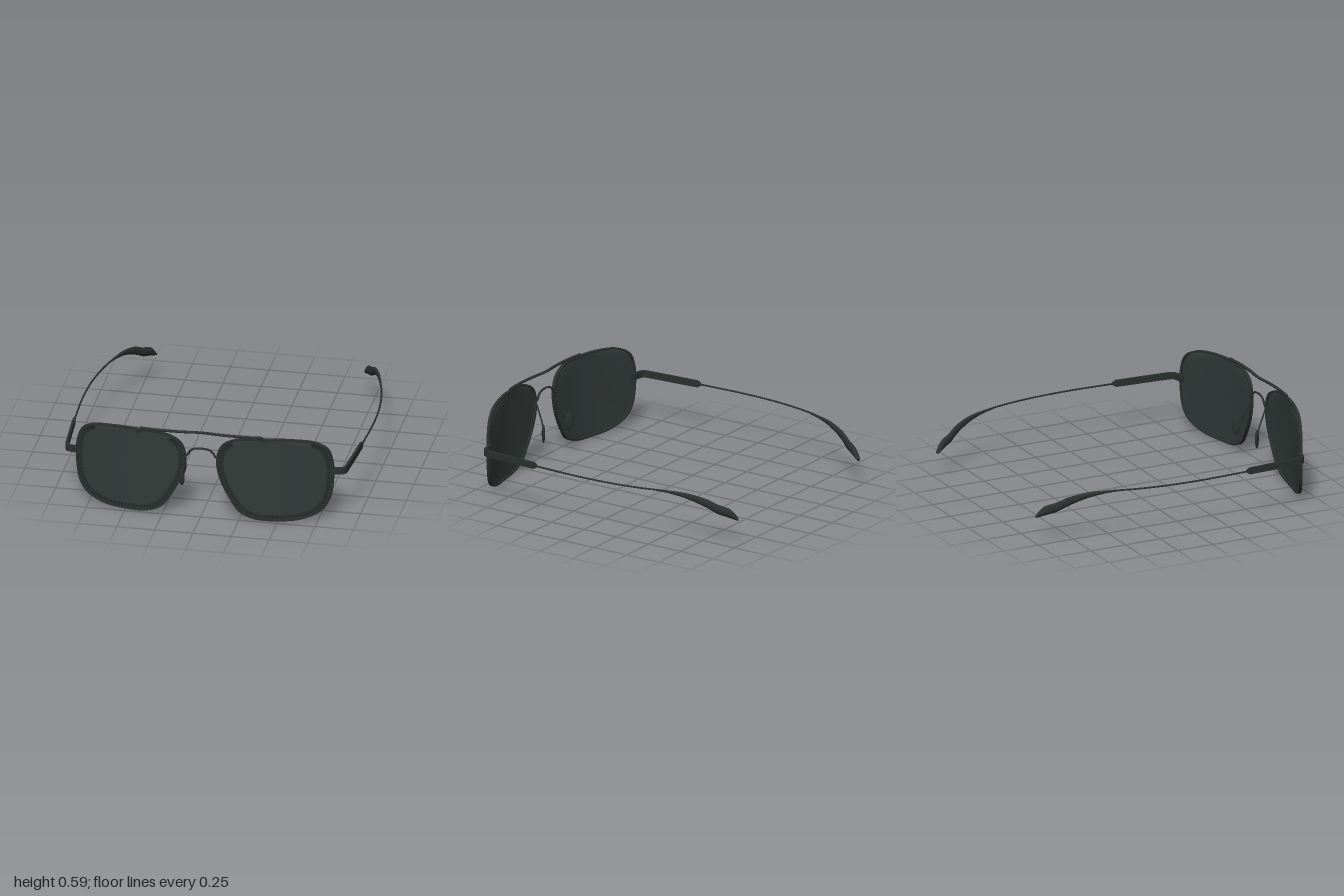
import * as THREE from 'three';

const lensMat = new THREE.MeshStandardMaterial({ color: 0x323a38, side: THREE.DoubleSide });
lensMat.name = 'smoked lens';
const frameMat = new THREE.MeshStandardMaterial({ color: 0x2a312f });
frameMat.name = 'dark frame';

const V = (x, y, z) => new THREE.Vector3(x, y, z);

// depth of the wrapped front at a given x
const frontZ = x => 0.986 - 0.35 * (Math.abs(x) - 0.22) ** 2;

// Skin a series of rings (counter-clockwise about the path direction)
function skin(rings, closed) {
  const n = rings[0].length, m = rings.length, index = [];
  for (let i = 0; i < (closed ? m : m - 1); i++) {
    for (let j = 0; j < n; j++) {
      const a = i * n + j, b = i * n + (j + 1) % n;
      const c = ((i + 1) % m) * n + j, d = ((i + 1) % m) * n + (j + 1) % n;
      index.push(a, b, c, b, d, c);
    }
  }
  if (!closed) {
    for (let j = 1; j < n - 1; j++) {
      const e = (m - 1) * n;
      index.push(0, j + 1, j, e, e + j, e + j + 1);
    }
  }
  const g = new THREE.BufferGeometry().setFromPoints(rings.flat());
  g.setIndex(index);
  g.computeVertexNormals();
  return g;
}

function flat(g) {
  const f = g.toNonIndexed();
  f.computeVertexNormals();
  return f;
}

// Loft through stations [x, y, z, halfThickness, halfHeight]
function loft(stations, sides, samples, boxy) {
  const path = new THREE.CatmullRomCurve3(stations.map(s => V(s[0], s[1], s[2])));
  const rings = [];
  const last = stations.length - 1, count = samples || last;
  for (let i = 0; i <= count; i++) {
    const t = i / count, k = Math.min(Math.floor(t * last), last - 1), f = t * last - k;
    const p = path.getPoint(t), d = path.getTangent(t);
    const out = V(d.z, 0, -d.x).normalize();
    const a = THREE.MathUtils.lerp(stations[k][3], stations[k + 1][3], f);
    const b = THREE.MathUtils.lerp(stations[k][4], stations[k + 1][4], f);
    rings.push(Array.from({ length: sides }, (_, j) => {
      const w = (j + (boxy ? 0.5 : 0)) / sides * Math.PI * 2, s = boxy ? Math.SQRT2 : 1;
      return p.clone().addScaledVector(out, Math.cos(w) * a * s).add(V(0, Math.sin(w) * b * s, 0));
    }));
  }
  return skin(rings, false);
}

function wire(points, radius, segments = 32) {
  const curve = new THREE.CatmullRomCurve3(points.map(p => V(...p)));
  return new THREE.TubeGeometry(curve, segments, radius, 8);
}

function mirrored(g) {
  const m = (g.index ? g.toNonIndexed() : g.clone()).scale(-1, 1, 1);
  for (const name of ['position', 'normal']) {
    const a = m.attributes[name];
    for (let i = 0; i < a.count; i += 3) {
      const p = [a.getX(i + 1), a.getY(i + 1), a.getZ(i + 1)];
      a.setXYZ(i + 1, a.getX(i + 2), a.getY(i + 2), a.getZ(i + 2));
      a.setXYZ(i + 2, ...p);
    }
  }
  return m;
}

export function createModel() {
  const group = new THREE.Group();
  const add = (name, g, mat = frameMat) => {
    const mesh = new THREE.Mesh(g, mat);
    mesh.name = name;
    group.add(mesh);
  };
  const addPair = (name, g, mat) => {
    add(name + 'Left', g, mat);
    add(name + 'Right', mirrored(g), mat);
  };

  // Lens outline, counter-clockwise from the top
  const outline = new THREE.CatmullRomCurve3([
    [0.40, 0.578], [0.23, 0.565], [0.135, 0.51], [0.105, 0.405], [0.133, 0.27], [0.20, 0.14],
    [0.255, 0.065], [0.345, 0.022], [0.5, 0.01], [0.655, 0.022], [0.765, 0.07], [0.815, 0.14],
    [0.838, 0.28], [0.835, 0.40], [0.805, 0.495], [0.73, 0.547], [0.58, 0.573],
  ].map(p => V(p[0], p[1], 0)), true);
  const N = 96, edge = outline.getPoints(N).slice(0, N);

  // Lens: nested outlines wrapped on the curved front
  const lensRings = [];
  for (let k = 0; k <= 8; k++) {
    const s = Math.max(1 - k / 8, 0.001);
    lensRings.push(edge.map(p => {
      const x = 0.48 + (p.x - 0.48) * s;
      return V(x, 0.3 + (p.y - 0.3) * s, frontZ(x));
    }));
  }
  addPair('lens', skin(lensRings, false), lensMat);

  // Rim: rectangular band around the lens
  const rimRings = edge.map((p, i) => {
    const t = outline.getTangent(i / N);
    return [[1, 1], [1, -1], [-1, -1], [-1, 1]].map(([o, d]) => {
      const x = p.x + t.y * o * 0.006, y = p.y - t.x * o * 0.006;
      return V(x, y, frontZ(x) + d * 0.011);
    });
  });
  addPair('rim', flat(skin(rimRings, true)));

  // Brow bar and nose bridge
  const bar = [];
  for (let i = -8; i <= 8; i++) bar.push([i * 0.05, 0.59, i ? frontZ(i * 0.05) : 0.973]);
  add('browBar', loft(bar.map(p => [...p, 0.011, 0.008]), 8, 48));
  const half = [[0.108, 0.42, 0.973], [0.09, 0.428, 0.973], [0.077, 0.452, 0.973], [0.05, 0.472, 0.974]];
  const left = half.map(([x, y, z]) => [-x, y, z]);
  add('bridge', wire([...left, [0, 0.479, 0.975], ...half.reverse()], 0.007, 48));

  // Nose pads on thin arms
  addPair('padArm', wire([[0.108, 0.40, 0.967], [0.108, 0.34, 0.945], [0.12, 0.28, 0.915], [0.143, 0.235, 0.893]], 0.005, 20));
  const pad = new THREE.SphereGeometry(1, 20, 14).scale(0.011, 0.062, 0.029);
  pad.rotateY(Math.atan2(0.04, -0.035)).translate(0.147, 0.228, 0.889);
  addPair('nosePad', pad);

  // End piece and flat front part of the temple
  const y = 0.338;
  addPair('hingeArm', flat(loft([
    [0.81, y, 0.853, 0.010, 0.022], [0.85, y, 0.843, 0.010, 0.022], [0.885, y, 0.837, 0.010, 0.022],
    [0.905, y, 0.827, 0.010, 0.022], [0.914, y, 0.803, 0.010, 0.022], [0.919, y, 0.75, 0.009, 0.022],
    [0.930, y, 0.60, 0.009, 0.022], [0.941, y, 0.43, 0.008, 0.022], [0.943, y, 0.405, 0.006, 0.009],
  ], 4, 32, true)));

  // Thin springy temple wire
  addPair('templeWire', wire([
    [0.942, y, 0.42], [0.950, y, 0.25], [0.955, y, 0.08], [0.947, y, -0.13],
    [0.930, y, -0.28], [0.908, y, -0.40], [0.880, y, -0.51], [0.857, 0.334, -0.59],
  ], 0.006, 48));

  // Ear tip, widening and bending downward
  addPair('earTip', loft([
    [0.887, y, -0.48, 0.006, 0.006], [0.862, 0.333, -0.57, 0.009, 0.009], [0.828, 0.318, -0.68, 0.012, 0.018],
    [0.783, 0.279, -0.80, 0.014, 0.029], [0.749, 0.241, -0.87, 0.016, 0.032],
    [0.716, 0.217, -0.938, 0.017, 0.031], [0.699, 0.194, -0.972, 0.016, 0.02], [0.690, 0.176, -0.99, 0.012, 0.006],
  ], 14, 35));

  return group;
}
